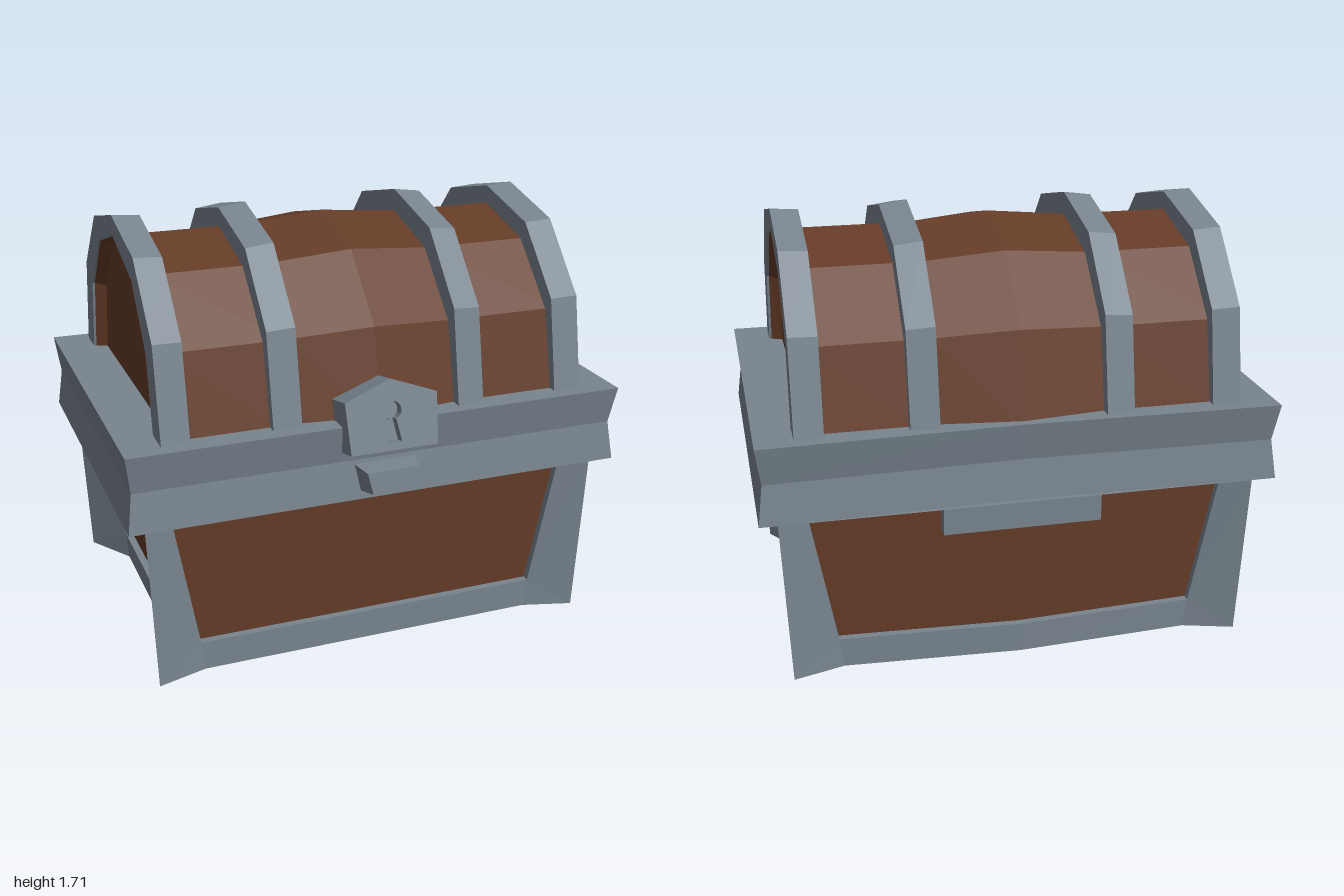
import * as THREE from 'three';

const metal = new THREE.MeshStandardMaterial({ color: 0x78848e, flatShading: true });
const wood = new THREE.MeshStandardMaterial({ color: 0x653c28, flatShading: true });
const liner = new THREE.MeshStandardMaterial({ color: 0x653c28, flatShading: true, side: THREE.DoubleSide });

// Flat-shaded mesh from polygons, each split into a fan
function polyMesh(name, material, polys) {
  const pos = [];
  for (const p of polys)
    for (let i = 1; i < p.length - 1; i++) pos.push(...p[0], ...p[i], ...p[i + 1]);
  const geo = new THREE.BufferGeometry();
  geo.setAttribute('position', new THREE.Float32BufferAttribute(pos, 3));
  geo.computeVertexNormals();
  const mesh = new THREE.Mesh(geo, material);
  mesh.name = name;
  return mesh;
}

// Skin over closed rings of points, with end caps
function loft(name, material, rings, caps = true) {
  const polys = [];
  for (let i = 0; i < rings.length - 1; i++) {
    const a = rings[i], b = rings[i + 1];
    a.forEach((p, j) => {
      const k = (j + 1) % a.length;
      polys.push([p, a[k], b[k], b[j]]);
    });
  }
  if (caps) polys.push([...rings[0]].reverse(), rings[rings.length - 1]);
  return polyMesh(name, material, polys);
}

// Half arch profiles [z, y] and their mirrored full arch, back to front
const bandOuter = [[0.665, 0.95], [0.585, 1.365], [0.346, 1.62], [0, 1.7]];
const bandInner = [[0.545, 0.95], [0.477, 1.3], [0.3, 1.525], [0, 1.62]];
const lidHalf = [[0.625, 0.95], [0.54, 1.31], [0.31, 1.54], [0, 1.62]];
const lidMid = [[0.665, 0.95], [0.572, 1.33], [0.33, 1.57], [0, 1.65]];
const endPanel = [[0.525, 0.95], [0.455, 1.29], [0.285, 1.505], [0, 1.595]];
const arch = (half) => [
  ...half.map(([z, y]) => [-z, y]),
  ...half.slice(0, -1).reverse(),
];
const archAt = (half, x) => arch(half).map(([z, y]) => [x, y, z]);

// Metal band over the lid; g0 and g1 nudge its outer edge at x0 and x1
function band(x0, x1, g0, g1) {
  const inner = arch(bandInner);
  const rings = arch(bandOuter).map(([z, y], i) => {
    const [iz, iy] = inner[i];
    const out = (x, g) => [x, y + g * (y - 0.95) / 0.75, z * (1 + g)];
    return [[x0, iy, iz], [x1, iy, iz], out(x1, g1), out(x0, g0)];
  });
  return loft('lidBand', metal, rings);
}

// One wall of the base: flared posts, bottom rail and recessed panel.
// u = half widths, d = depths at: foot, post top, rail end, panel bottom, panel top
function wall(name, u, d, bulge, turn) {
  const y = [0, 0.695, 0, 0.12, 0.695], inset = 0.03;
  const frame = [], panel = [];
  for (const s of [1, -1]) {
    const add = (list, ...p) => list.push(s > 0 ? p : p.reverse());
    const [C0, C1, I, P, T] = u.map((v, i) => [s * v, y[i], d[i]]);
    const mid = (p) => [0, p[1], p[2] + bulge];
    const back = (p) => [p[0], p[1], p[2] - inset];
    const p = back(P), t = back(T);
    add(frame, P, C0, C1, T);
    add(frame, I, C0, P);
    add(frame, mid(I), I, P, mid(P));
    add(frame, mid(P), P, p, mid(p));
    add(frame, P, T, t, p);
    add(panel, mid(p), p, t, mid(t));
  }
  const g = new THREE.Group();
  g.name = name;
  g.add(polyMesh('wallFrame', metal, frame), polyMesh('wallPanel', wood, panel));
  g.rotation.y = turn * Math.PI / 2;
  return g;
}

function base() {
  const g = new THREE.Group();
  g.name = 'base';
  const longU = [0.9, 0.93, 0.7, 0.715, 0.82], longD = [0.638, 0.65, 0.58, 0.58, 0.6];
  const endU = [0.638, 0.65, 0.44, 0.44, 0.5], endD = [0.9, 0.93, 0.775, 0.785, 0.84];
  g.add(
    wall('frontWall', longU, longD, 0, 0), wall('leftWall', endU, endD, 0, 1),
    wall('backWall', longU, longD, 0.04, 2), wall('rightWall', endU, endD, 0, 3),
  );
  // underside
  const floor = [[-0.7, 0.58], [0.7, 0.58], [0.775, 0.44], [0.775, -0.44], [0.7, -0.58],
    [0, -0.62], [-0.7, -0.58], [-0.775, -0.44], [-0.775, 0.44]];
  g.add(polyMesh('floor', wood, [floor.map(([x, z]) => [x, 0, z]).reverse()]));
  const feet = [];
  for (const sx of [1, -1]) for (const sz of [1, -1]) {
    const tri = [[sx * 0.775, 0, sz * 0.44], [sx * 0.9, 0, sz * 0.638], [sx * 0.7, 0, sz * 0.58]];
    feet.push(sx * sz > 0 ? tri : tri.reverse());
  }
  g.add(polyMesh('cornerFeet', metal, feet));
  return g;
}

function rim() {
  const ring = (y, x, z) => [[-x, y, z], [x, y, z], [x, y, -z], [0, y, -z + 0.025], [-x, y, -z]];
  return loft('rim', metal, [ring(0.693, 1, 0.705), ring(0.85, 0.98, 0.685), ring(1, 1, 0.712)]);
}

function lid() {
  const g = new THREE.Group();
  g.name = 'lid';
  g.add(loft('lidBoards', wood, [
    archAt(lidHalf, -0.8), archAt(lidHalf, -0.33), archAt(lidMid, 0),
    archAt(lidHalf, 0.33), archAt(lidHalf, 0.8),
  ]));
  for (const s of [1, -1])
    g.add(loft('lidEndLiner', liner, [archAt(bandInner, s * 0.845), archAt(endPanel, s * 0.8)], false));
  g.add(band(0.745, 0.855, -0.008, 0), band(-0.855, -0.745, 0, -0.008));
  g.add(band(0.32, 0.43, 0.01, -0.005), band(-0.43, -0.32, -0.005, 0.01));
  return g;
}

// Tilted lock plate with a keyhole
function lock() {
  const outline = () => new THREE.Shape([[-0.175, 0], [0.175, 0], [0.185, 0.2], [0, 0.27], [-0.185, 0.2]]
    .map(([x, y]) => new THREE.Vector2(x, y)));
  const plate = outline();
  const hole = new THREE.Path();
  hole.moveTo(-0.03, 0.03);
  hole.lineTo(-0.014, 0.12);
  hole.absarc(0, 0.15, 0.036, -Math.PI * 0.62, -Math.PI * 0.38, true);
  hole.lineTo(0.03, 0.03);
  plate.holes.push(hole);
  const part = (name, shape, z, depth) => {
    const geo = new THREE.ExtrudeGeometry(shape, { depth, bevelEnabled: false, curveSegments: 10 });
    const m = new THREE.Mesh(geo, metal);
    m.name = name;
    m.position.z = z;
    return m;
  };
  const g = new THREE.Group();
  g.name = 'lock';
  g.add(part('lockBody', outline(), -0.04, 0.11), part('lockPlate', plate, 0.07, 0.04));
  g.position.set(0, 0.89, 0.643);
  g.rotation.x = -0.23;
  return g;
}

export function createModel() {
  const model = new THREE.Group();
  model.name = 'chest';
  const body = new THREE.Group();
  body.name = 'body';
  body.position.z = -0.04;
  body.add(base(), rim(), lid());

  // hinge block under the rim at the back
  const hinge = new THREE.Mesh(new THREE.BoxGeometry(0.62, 0.15, 0.12), metal);
  hinge.name = 'hingeBlock';
  hinge.position.set(0, 0.635, -0.63);

  // catch below the lock
  const latch = loft('catch', metal, [
    [[-0.11, 0.715, 0.6], [0.11, 0.715, 0.6], [0.13, 0.835, 0.6], [-0.13, 0.835, 0.6]],
    [[-0.085, 0.745, 0.75], [0.085, 0.745, 0.75], [0.105, 0.83, 0.74], [-0.105, 0.83, 0.74]],
  ]);
  model.add(body, hinge, lock(), latch);
  return model;
}
